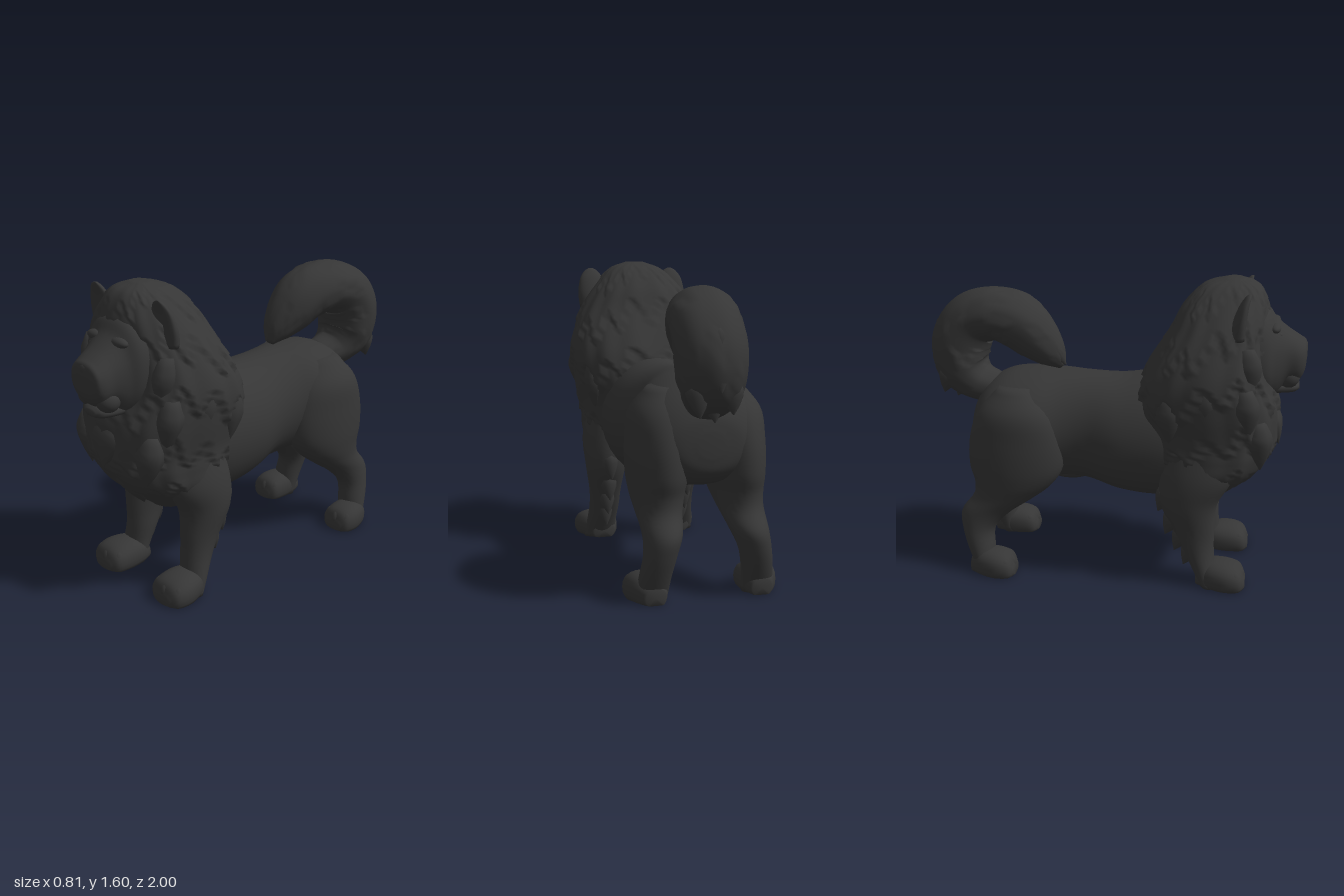
import * as THREE from 'three';

const coat = new THREE.MeshStandardMaterial({ color: 0x363636 });
coat.name = 'charcoal coat';

const UP = [0, 1, 0], DOWN = [0, -1, 0], FORWARD = [0, 0, 1];

// Smooth closed skin through sections [x, y, z, halfWidthX, halfDepth].
// axis fixes the ring normal (in the yz plane); otherwise rings follow the path.
function loft(sections, { axis = null, segs = 24, steps = 32, power = 1, fur = null } = {}) {
  const path = new THREE.CatmullRomCurve3(sections.map(s => new THREE.Vector3(s[0], s[1], s[2])), false, 'catmullrom', 0.5);
  const size = new THREE.CatmullRomCurve3(sections.map(s => new THREE.Vector3(s[3], s[4], 0)), false, 'catmullrom', 0.5);
  const pos = [], idx = [];
  const bend = v => Math.sign(v) * Math.pow(Math.abs(v), power);
  for (let i = 0; i <= steps; i++) {
    const t = i / steps, c = path.getPoint(t), r = size.getPoint(t);
    const d = axis ? new THREE.Vector3(...axis) : path.getTangent(t);
    d.x = 0;
    d.normalize();
    for (let j = 0; j < segs; j++) {
      const a = j / segs * Math.PI * 2, k = fur ? fur(a, t) : 1;
      const w = Math.max(r.x, 0.002) * k * bend(Math.cos(a));
      const h = Math.max(r.y, 0.002) * k * bend(Math.sin(a));
      pos.push(c.x + w, Math.max(0, c.y + d.z * h), c.z - d.y * h);
    }
  }
  for (let i = 0; i < steps; i++) for (let j = 0; j < segs; j++) {
    const a = i * segs + j, b = i * segs + (j + 1) % segs;
    idx.push(a, b, a + segs, b, b + segs, a + segs);
  }
  // end caps
  const n = pos.length / 3, last = steps * segs;
  for (const t of [0, 1]) {
    const c = path.getPoint(t);
    pos.push(c.x, Math.max(0, c.y), c.z);
  }
  for (let j = 0; j < segs; j++) {
    const k = (j + 1) % segs;
    idx.push(n, k, j, n + 1, last + j, last + k);
  }
  const g = new THREE.BufferGeometry();
  g.setAttribute('position', new THREE.Float32BufferAttribute(pos, 3));
  g.setIndex(idx);
  g.computeVertexNormals();
  return g;
}

// Overlapping tiers of pointed locks: swell towards each zigzag hem, then step in.
function shag(tiers, locks, depth) {
  return (a, t) => {
    const zig = Math.abs(((a / (Math.PI * 2) * locks) % 1) * 2 - 1);
    const f = t * tiers + zig * 0.6 + 0.25 * Math.sin(a * 3);
    return 1 - depth + depth * (f - Math.floor(f));
  };
}

export function createModel() {
  const model = new THREE.Group();
  model.name = 'dog';
  const add = (name, geometry, parent = model) => {
    const m = new THREE.Mesh(geometry, coat);
    m.name = name;
    parent.add(m);
    return m;
  };
  const ball = (name, x, y, z, rx, ry, rz, parent) => {
    const m = add(name, new THREE.SphereGeometry(1, 16, 12), parent);
    m.position.set(x, y, z);
    m.scale.set(rx, ry, rz);
  };
  // Pointed lock of hair from p to q
  const tuft = (name, p, q, w, d, parent) => {
    const at = (t, k) => [...p.map((v, i) => v + (q[i] - v) * t), w * k, d * k];
    add(name, loft([at(0, 0.5), at(0.35, 1), at(0.7, 0.65), at(1, 0.03)], { segs: 8, steps: 8 }), parent);
  };
  // Section helpers: slices across z (top, bottom) and across y (front, back)
  const zSlice = ([z, top, bottom, w, x = 0]) => [x, (top + bottom) / 2, z, w, (top - bottom) / 2];
  const ySlice = ([y, front, back, w, x = 0]) => [x, y, (front + back) / 2, w, (front - back) / 2];

  // Torso, rump to chest
  add('torso', loft([
    [-0.75, 0.82, 0.7, 0.06], [-0.73, 0.91, 0.62, 0.18], [-0.66, 1.01, 0.56, 0.27],
    [-0.55, 1.07, 0.53, 0.31], [-0.4, 1.09, 0.5, 0.31], [-0.25, 1.085, 0.49, 0.255],
    [-0.12, 1.075, 0.48, 0.245], [0.05, 1.07, 0.43, 0.28], [0.25, 1.09, 0.41, 0.285],
    [0.45, 1.05, 0.44, 0.26],
  ].map(zSlice), { axis: FORWARD, segs: 32, steps: 48 }));
  ball('bellyFold', 0, 0.52, -0.24, 0.07, 0.06, 0.14);

  // Mane covering head, neck and chest
  add('mane', loft([
    [1.6, 0.66, 0.58, 0.05], [1.56, 0.75, 0.46, 0.15], [1.46, 0.8, 0.36, 0.25],
    [1.34, 0.81, 0.3, 0.33], [1.2, 0.82, 0.21, 0.39], [1.08, 0.84, 0.15, 0.405],
    [0.95, 0.88, 0.12, 0.385], [0.8, 0.88, 0.16, 0.35], [0.7, 0.86, 0.19, 0.34],
    [0.6, 0.79, 0.23, 0.32], [0.5, 0.68, 0.26, 0.22], [0.42, 0.58, 0.31, 0.12],
    [0.39, 0.5, 0.4, 0.03],
  ].map(ySlice), { axis: DOWN, segs: 96, steps: 90, power: 0.82, fur: shag(6, 14, 0.06) }));

  // Chest locks
  const locks = new THREE.Group();
  locks.name = 'chestLocks';
  model.add(locks);
  tuft('centreLock', [0, 0.95, 0.82], [0, 0.72, 0.88], 0.12, 0.05, locks);
  tuft('lowerLock', [0, 0.75, 0.8], [0, 0.45, 0.64], 0.14, 0.06, locks);

  // Face and muzzle
  add('face', loft([
    [0.66, 1.46, 1.02, 0.25, 0], [0.78, 1.46, 0.99, 0.22, 0.01], [0.84, 1.39, 0.99, 0.175, 0.02],
    [0.9, 1.34, 1.05, 0.14, 0.03], [0.96, 1.3, 1.07, 0.125, 0.035], [0.99, 1.28, 1.12, 0.1, 0.04],
    [1.0, 1.25, 1.19, 0.045, 0.04],
  ].map(zSlice), { axis: FORWARD, segs: 28, steps: 32, power: 0.88 }));
  add('lowerJaw', loft([
    [0.76, 1.1, 1.0, 0.12, 0.03], [0.86, 1.08, 1.0, 0.11, 0.035], [0.94, 1.07, 1.005, 0.085, 0.04],
    [0.97, 1.05, 1.02, 0.04, 0.04],
  ].map(zSlice), { axis: FORWARD, segs: 16, steps: 12 }));
  ball('nose', 0.04, 1.25, 0.972, 0.05, 0.035, 0.03);

  for (const s of [1, -1]) {
    const side = s > 0 ? 'left' : 'right';
    const leg = (rows) => rows.map(([y, f, b, w, x]) => ySlice([y, f, b, w, x * s]));

    ball(side + 'Lip', 0.04 + s * 0.07, 1.1, 0.91, 0.06, 0.06, 0.06);
    ball(side + 'Brow', 0.015 + s * 0.09, 1.36, 0.83, 0.06, 0.025, 0.03);
    ball(side + 'Eye', 0.015 + s * 0.09, 1.325, 0.85, 0.02, 0.016, 0.02);

    // Ear, hollowed at the front
    add(side + 'Ear', loft([
      [s * 0.225, 1.34, 0.66, 0.09, 0.06], [s * 0.24, 1.42, 0.67, 0.082, 0.05],
      [s * 0.24, 1.5, 0.685, 0.068, 0.035], [s * 0.24, 1.545, 0.7, 0.04, 0.022],
      [s * 0.24, 1.562, 0.705, 0.012, 0.01],
    ], { axis: UP, segs: 24, steps: 16, fur: a => Math.sin(a) < 0 ? 1 - 0.85 * Math.sin(a) ** 2 : 1 }));

    // Long locks framing the face and shoulder
    for (const [y, x, z, w] of [[1.3, 0.29, 0.7, 0.06], [1.1, 0.32, 0.7, 0.07], [0.92, 0.25, 0.77, 0.08], [1.12, 0.35, 0.5, 0.05], [1.05, 0.33, 0.32, 0.05]])
      tuft(side + 'ManeLock', [s * x, y, z], [s * (x - 0.03), y - 0.27, z + 0.02], w, 0.07, locks);

    // Front leg, feathered behind
    add(side + 'FrontLeg', loft(leg([
      [0.78, 0.68, 0.32, 0.11, 0.2], [0.6, 0.66, 0.28, 0.125, 0.22], [0.45, 0.58, 0.28, 0.112, 0.228],
      [0.3, 0.57, 0.35, 0.09, 0.225], [0.2, 0.57, 0.4, 0.085, 0.225], [0.1, 0.58, 0.45, 0.085, 0.235],
      [0, 0.6, 0.5, 0.09, 0.24],
    ]), { axis: DOWN }));
    for (const [y, z] of [[0.5, 0.27], [0.37, 0.31], [0.28, 0.36], [0.2, 0.41]])
      tuft(side + 'LegFeather', [s * 0.23, y + 0.05, z + 0.07], [s * 0.23, y - 0.11, z], 0.05, 0.055, locks);

    // Hind leg: thigh, hock and shank
    add(side + 'HindLeg', loft(leg([
      [1.02, -0.4, -0.58, 0.08, 0.16], [0.9, -0.28, -0.69, 0.15, 0.18], [0.75, -0.235, -0.74, 0.15, 0.195],
      [0.6, -0.24, -0.745, 0.145, 0.2], [0.5, -0.3, -0.72, 0.13, 0.205], [0.42, -0.4, -0.73, 0.112, 0.21],
      [0.33, -0.53, -0.795, 0.095, 0.22], [0.24, -0.61, -0.79, 0.082, 0.24], [0.13, -0.61, -0.755, 0.08, 0.26],
      [0, -0.6, -0.7, 0.08, 0.275],
    ]), { axis: DOWN, segs: 28, steps: 40 }));

    // Paws with toes
    for (const [name, x, z0, z1, w] of [['FrontPaw', 0.245, 0.48, 0.74, 0.118], ['HindPaw', 0.29, -0.735, -0.49, 0.1]]) {
      const at = t => z0 + (z1 - z0) * t;
      add(side + name, loft([
        [z0, 0.08, -0.01, w * 0.5, s * (x - 0.02)], [at(0.25), 0.13, -0.03, w * 0.85, s * (x - 0.01)],
        [at(0.6), 0.135, -0.04, w, s * x], [at(0.88), 0.11, -0.03, w * 0.9, s * x],
        [z1, 0.05, 0, w * 0.5, s * x],
      ].map(zSlice), { axis: FORWARD, segs: 24, steps: 20, power: 0.85 }));
      for (const k of [-1, 0, 1])
        ball(side + name + 'Toe', s * x + k * w * 0.58, 0.055, at(0.83) - Math.abs(k) * 0.015, w * 0.34, 0.053, 0.042);
    }
  }

  // Curled tail, base to tip
  add('tail', loft([
    [0, 0.96, -0.62, 0.1, 0.08], [0.02, 0.99, -0.74, 0.13, 0.11], [0.035, 1.07, -0.82, 0.165, 0.15],
    [0.04, 1.2, -0.835, 0.175, 0.165], [0.04, 1.32, -0.765, 0.175, 0.155], [0.02, 1.36, -0.64, 0.175, 0.145],
    [0, 1.33, -0.51, 0.16, 0.15], [-0.01, 1.25, -0.41, 0.13, 0.13], [-0.02, 1.16, -0.32, 0.08, 0.08],
    [-0.02, 1.1, -0.27, 0.025, 0.02],
  ], { segs: 40, steps: 60, fur: shag(3, 7, 0.05) }));
  for (const [x, y, z, dy, dz] of [[0.04, 1.2, -0.9, -0.16, -0.08], [-0.04, 1.1, -0.87, -0.17, -0.05], [0.12, 1.1, -0.86, -0.18, -0.06], [0.03, 1.05, -0.8, -0.16, -0.07], [0.04, 1.34, -0.88, -0.16, -0.1]])
    tuft('tailLock', [x, y, z], [x, y + dy, z + dz], 0.06, 0.06, locks);
  tuft('tailTip', [-0.02, 1.25, -0.38], [-0.03, 1.11, -0.25], 0.08, 0.07, locks);

  return model;
}
